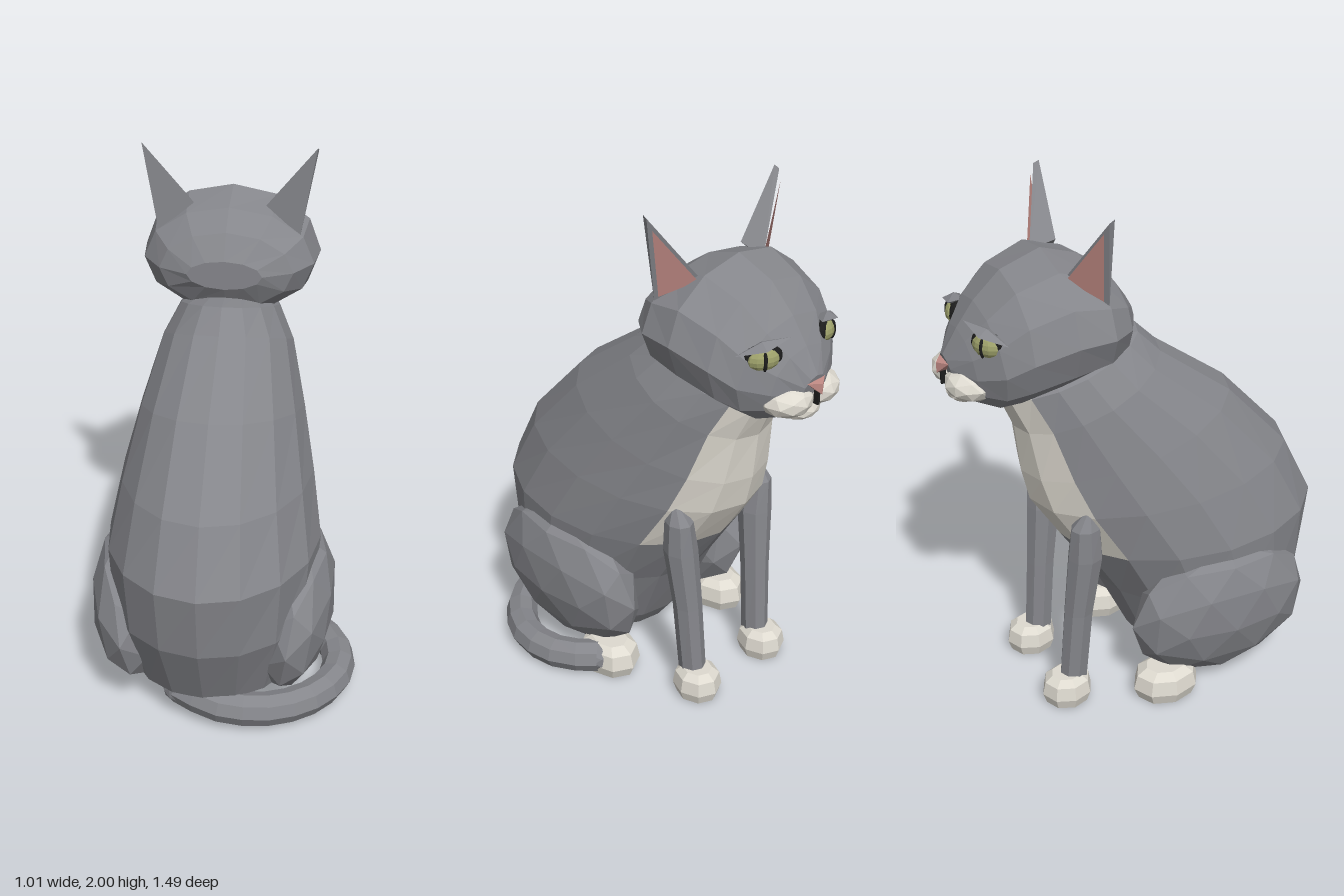
import * as THREE from 'three';
import { ConvexGeometry } from 'three/addons/geometries/ConvexGeometry.js';

const mat = (color) => new THREE.MeshStandardMaterial({ color, flatShading: true, side: THREE.DoubleSide });
const V = (x, y, z) => new THREE.Vector3(x, y, z);

// Skin through oval rings [yA, zA, yB, zB, halfWidth]; A and B are opposite ends of each oval.
function loft(rings, sides, keep = () => true, caps = true) {
  const pts = rings.map(([yA, zA, yB, zB, w, x = 0]) => Array.from({ length: sides }, (_, j) => {
    const a = (j / sides) * Math.PI * 2, c = Math.cos(a) / 2;
    return V(x + w * Math.sin(a), (yA + yB) / 2 + c * (yA - yB), (zA + zB) / 2 + c * (zA - zB));
  }));
  const out = [];
  const tri = (...p) => p.forEach((q) => out.push(q.x, q.y, q.z));
  for (let i = 0; i < pts.length - 1; i++) for (let j = 0; j < sides; j++) {
    if (!keep(i, j)) continue;
    const k = (j + 1) % sides, a = pts[i], b = pts[i + 1];
    tri(a[j], a[k], b[k]);
    tri(a[j], b[k], b[j]);
  }
  if (caps) [pts[0], pts[pts.length - 1]].forEach((ring, end) => {
    const c = ring.reduce((s, p) => s.add(p), V(0, 0, 0)).divideScalar(sides);
    ring.forEach((p, j) => {
      const q = ring[(j + 1) % sides];
      if (end) tri(c, p, q); else tri(c, q, p);
    });
  });
  const g = new THREE.BufferGeometry();
  g.setAttribute('position', new THREE.Float32BufferAttribute(out, 3));
  g.computeVertexNormals();
  return g;
}

export function createModel() {
  const model = new THREE.Group();
  model.name = 'sittingCat';
  const cat = new THREE.Group();
  cat.name = 'cat';
  cat.position.x = -0.045;
  model.add(cat);

  const fur = mat(0x85868b), white = mat(0xdedad0), pink = mat(0xc08a84);
  const green = mat(0x9da06a), black = mat(0x1c1c1c);
  const add = (name, geo, material, pos = [0, 0, 0], scale = [1, 1, 1], parent = cat) => {
    const m = new THREE.Mesh(geo, material);
    m.name = name;
    m.position.set(...pos);
    m.scale.set(...scale);
    parent.add(m);
    return m;
  };
  const ball = new THREE.IcosahedronGeometry(1, 1);

  // Torso with a white chest panel
  const torso = [
    [0.05, 0.48, 0.05, 0.04, 0.24], [0.13, 0.59, 0.13, -0.02, 0.31],
    [0.40, 0.71, 0.40, -0.15, 0.38], [0.66, 0.745, 0.63, -0.30, 0.40],
    [0.90, 0.63, 0.82, -0.42, 0.36], [1.17, 0.38, 0.95, -0.45, 0.31],
    [1.38, 0.09, 1.14, -0.47, 0.25], [1.46, 0.01, 1.28, -0.53, 0.19],
    [1.46, -0.12, 1.36, -0.45, 0.12],
  ];
  const isChest = (i, j) => i >= 3 && j >= 6 && j <= 9;
  add('torso', loft(torso, 16, (i, j) => !isChest(i, j)), fur);
  add('chest', loft(torso, 16, isChest, false), white);

  // Head, lofted from the back of the skull to the nose bridge
  add('head', loft([
    [1.61, -0.06, 1.50, -0.06, 0.14], [1.70, -0.12, 1.41, -0.11, 0.25],
    [1.765, -0.21, 1.36, -0.20, 0.32], [1.81, -0.35, 1.32, -0.34, 0.335],
    [1.755, -0.50, 1.28, -0.49, 0.30], [1.66, -0.60, 1.27, -0.56, 0.25],
    [1.57, -0.665, 1.30, -0.64, 0.16], [1.48, -0.72, 1.34, -0.69, 0.06],
  ], 12), fur);
  add('chin', ball, white, [0, 1.335, -0.655], [0.08, 0.04, 0.06]);
  add('nose', new ConvexGeometry([
    V(-0.045, 1.46, -0.715), V(0.045, 1.46, -0.715), V(0, 1.415, -0.745),
    V(0, 1.455, -0.745), V(0, 1.42, -0.7),
  ]), pink);
  add('mouthLine', new THREE.BoxGeometry(0.01, 0.05, 0.02), black, [0, 1.395, -0.722]);

  const pawGeo = new THREE.LatheGeometry([[0, 0], [0.85, 0], [1, 0.35], [0.9, 0.8], [0.6, 1], [0, 1]]
    .map(([x, y]) => new THREE.Vector2(x, y)), 8);

  for (const s of [1, -1]) {
    const side = s > 0 ? 'left' : 'right';

    // Muzzle lobe
    add(side + 'Muzzle', ball, white, [s * 0.07, 1.39, -0.642], [0.1, 0.062, 0.098]);

    // Eye: dark rim, green ball, slit pupil, heavy brow
    const eye = new THREE.Group();
    eye.name = side + 'Eye';
    eye.position.set(s * 0.155, 1.56, -0.605);
    eye.rotation.y = Math.atan2(s * 0.5, -0.85);
    cat.add(eye);
    const round = new THREE.SphereGeometry(1, 12, 8);
    add('eyeRim', round, black, [0, 0, 0], [0.075, 0.05, 0.03], eye);
    add('eyeball', round, green, [0, 0, 0.008], [0.06, 0.042, 0.036], eye);
    add('pupil', round, black, [0, 0, 0.034], [0.009, 0.036, 0.013], eye);
    const brow = add('brow', new THREE.OctahedronGeometry(1), fur, [0, 0.046, 0.012], [0.1, 0.02, 0.04], eye);
    brow.rotation.z = s * 0.25;

    // Ear: tall pyramid with a pink inner face
    const tip = V(s * 0.322, 2.0, -0.215), outer = V(s * 0.265, 1.665, -0.21);
    const inner = V(s * 0.135, 1.77, -0.235), front = V(s * 0.15, 1.74, -0.33);
    add(side + 'Ear', new ConvexGeometry([tip, outer, inner, front, V(s * 0.325, 1.99, -0.235)]), fur);
    const corners = [V(s * 0.325, 1.99, -0.235), outer, front];
    const mid = corners.reduce((a, p) => a.add(p), V(0, 0, 0)).divideScalar(3);
    const lining = new THREE.BufferGeometry().setFromPoints(corners.map((p) =>
      p.clone().lerp(mid, 0.2).add(V(s * 0.006, 0, -0.012))));
    lining.computeVertexNormals();
    add(side + 'EarLining', lining, pink);

    // Front leg and paw
    add(side + 'FrontLeg', loft([
      [0.08, -0.28, 0.08, -0.39, 0.05, s * 0.18], [0.4, -0.255, 0.4, -0.37, 0.055, s * 0.19],
      [0.65, -0.22, 0.65, -0.355, 0.065, s * 0.205], [0.78, -0.23, 0.78, -0.345, 0.05, s * 0.215],
      [0.85, -0.26, 0.85, -0.29, 0.015, s * 0.22],
    ], 8), fur);
    add(side + 'FrontPaw', pawGeo, white, [s * 0.185, 0, -0.365], [0.09, 0.12, 0.1]);

    // Haunch and hind paw
    const haunch = add(side + 'Haunch', ball, fur, [s * 0.305, 0.335, 0.23], [0.155, 0.3, 0.37]);
    haunch.rotation.z = s * -0.15;
    add(side + 'HindPaw', pawGeo, white, [s * 0.31, 0, 0], [0.105, 0.13, 0.135]);
  }

  // Tail wrapped along the ground around the left side
  const path = new THREE.CatmullRomCurve3([
    V(-0.1, 0.11, 0.5), V(0.05, 0.085, 0.56), V(0.24, 0.07, 0.545), V(0.4, 0.064, 0.44),
    V(0.482, 0.064, 0.28), V(0.46, 0.066, 0.11), V(0.37, 0.07, 0.0),
  ]);
  add('tail', new THREE.TubeGeometry(path, 12, 0.064, 8), fur);
  add('tailTip', ball, fur, [0.37, 0.07, 0.0], [0.06, 0.06, 0.06]);
  add('tailBase', ball, fur, [-0.1, 0.11, 0.5], [0.065, 0.065, 0.065]);

  return model;
}
